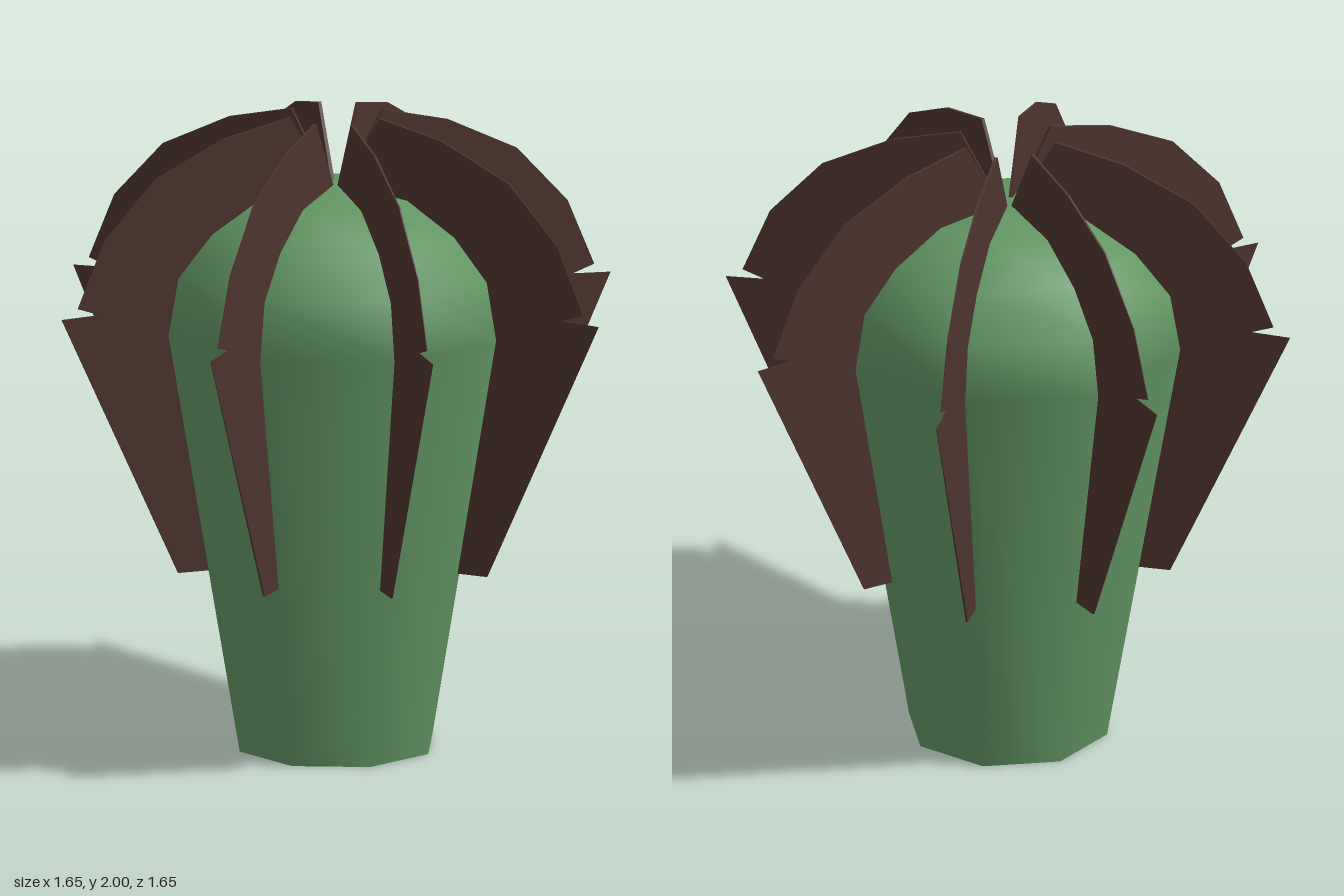
import * as THREE from 'three';

export function createModel() {
  const group = new THREE.Group();
  const green = new THREE.MeshStandardMaterial({ color: 0x629663, side: THREE.DoubleSide });
  green.name = 'leaf green';
  const brown = new THREE.MeshStandardMaterial({ color: 0x4e342e, side: THREE.DoubleSide });
  brown.name = 'bark brown';

  // Radius and height of the body's corners, bottom to top
  const profile = [
    [0.314, 0], [0.547, 1.34], [0.515, 1.52], [0.405, 1.65], [0.245, 1.75], [0.03, 1.78],
  ];

  // Eight-sided smooth body, open at the bottom
  const body = new THREE.Mesh(
    new THREE.LatheGeometry(
      [...profile, [0, 1.78]].map(([r, y]) => new THREE.Vector2(r, y)),
      8, Math.PI / 8),
    green);
  body.name = 'body';
  group.add(body);

  // Fin outline: notched outer edge, then back down along the body
  const outer = [
    [0.416, 0.585], [0.515, 0.585], [0.895, 1.42], [0.77, 1.425], [0.842, 1.45],
    [0.755, 1.66], [0.59, 1.84], [0.365, 1.95], [0.15, 2.0],
  ];
  const inner = profile.slice(1).reverse();
  const outline = [...outer, ...inner].map(([r, y]) => new THREE.Vector2(r, y));
  const finGeometry = new THREE.ExtrudeGeometry(new THREE.Shape(outline), {
    depth: 1, bevelEnabled: false,
  });

  // Thin the fin to a wedge that narrows outward
  const pos = finGeometry.attributes.position;
  for (let i = 0; i < pos.count; i++) {
    const thickness = THREE.MathUtils.lerp(0.012, 0.002, Math.min(pos.getX(i) / 0.85, 1));
    pos.setZ(i, (pos.getZ(i) - 0.5) * thickness);
  }
  finGeometry.computeVertexNormals();

  // One fin on each corner of the body
  for (let i = 0; i < 8; i++) {
    const fin = new THREE.Mesh(finGeometry, brown);
    fin.name = `fin${i + 1}`;
    fin.rotation.y = Math.PI / 8 + (i * Math.PI) / 4;
    group.add(fin);
  }
  return group;
}
